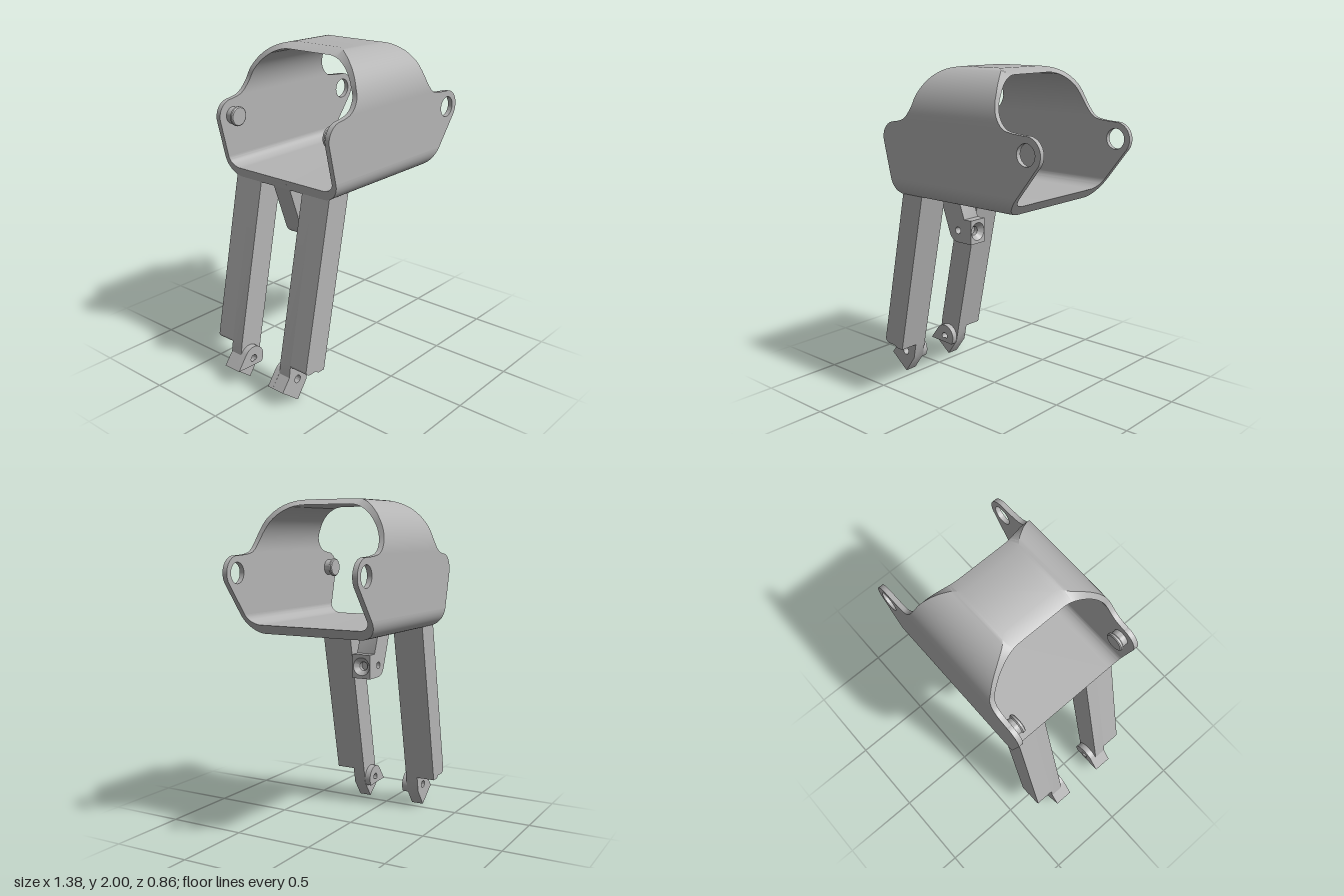
import * as THREE from 'three';
import { toCreasedNormals } from 'three/addons/utils/BufferGeometryUtils.js';

const grey = new THREE.MeshStandardMaterial({ color: 0xb4b4b4 });
grey.name = 'grey';

const WALL_LOW = 1.34, WALL_TOP = 1.68;   // height range of the flat side walls
const PIVOT_Y = 1.582;                    // height of lug holes and pins

function add(parent, geometry, name) {
  const mesh = new THREE.Mesh(geometry, grey);
  mesh.name = name;
  parent.add(mesh);
  return mesh;
}

// Extrude a side profile (x, y) between two z positions
function slab(shape, z0, z1) {
  const g = new THREE.ExtrudeGeometry(shape, { depth: z1 - z0, bevelEnabled: false, curveSegments: 24 });
  g.translate(0, 0, z0);
  return toCreasedNormals(g, 0.5);
}

function polygon(points) {
  return new THREE.Shape(points.map(([x, y]) => new THREE.Vector2(x, y)));
}

function hole(shape, x, y, r) {
  shape.holes.push(new THREE.Path().absarc(x, y, r, 0, Math.PI * 2, true));
  return shape;
}

// x of a smooth trim edge as a function of y
function edge(points) {
  const pts = new THREE.CatmullRomCurve3(points.map(([x, y]) => new THREE.Vector3(x, y, 0))).getPoints(120);
  return (y) => {
    const i = pts.findIndex((p) => p.y >= y);
    if (i < 0) return pts[pts.length - 1].x;
    if (i === 0) return pts[0].x;
    const a = pts[i - 1], b = pts[i];
    return a.x + (b.x - a.x) * (y - a.y) / (b.y - a.y || 1);
  };
}

// Band of wall: stations are [outerY, outerZ, innerY, innerZ], trimmed in x by height
function band(stations, left, right) {
  const pos = [], idx = [];
  stations.forEach(([yo, zo, yi, zi], i) => {
    pos.push(left(yo), yo, zo, right(yo), yo, zo, right(yi), yi, zi, left(yi), yi, zi);
    if (i === 0) return;
    const a = (i - 1) * 4, b = i * 4;
    for (let k = 0; k < 4; k++) {
      const n = (k + 1) % 4;
      idx.push(a + k, a + n, b + n, a + k, b + n, b + k);
    }
  });
  const g = new THREE.BufferGeometry();
  g.setAttribute('position', new THREE.Float32BufferAttribute(pos, 3));
  g.setIndex(idx);
  return toCreasedNormals(g, 0.6);
}

const mirrorZ = (half) => half.concat(half.slice().reverse().map(([yo, zo, yi, zi]) => [yo, -zo, yi, -zi]));

function buildShell() {
  const shell = new THREE.Group();
  shell.name = 'shell';

  // Arched roof, narrowing in x towards the top
  const roof = [1.68, 1.682, 1.685, 1.69, 1.695].map((y) => [y, 0.43, y, 0.4]);
  for (let i = 0; i <= 28; i++) {
    const a = (i / 28) * Math.PI / 2, c = Math.cos(a), s = Math.sin(a);
    roof.push([1.7 + 0.3 * s, 0.16 + 0.27 * c, 1.7 + 0.267 * s, 0.15 + 0.25 * c]);
  }
  const roofLeft = edge([[-0.41, 1.68], [-0.36, 1.69], [-0.317, 1.71], [-0.27, 1.772], [-0.252, 1.84],
    [-0.2, 1.947], [-0.155, 1.987], [-0.1, 2]]);
  const roofRight = edge([[0.593, 1.68], [0.5, 1.686], [0.434, 1.703], [0.386, 1.76], [0.36, 1.825],
    [0.34, 1.89], [0.3, 1.955], [0.255, 1.988], [0.2, 2]]);
  add(shell, band(mirrorZ(roof), roofLeft, roofRight), 'roof');

  // Floor with rounded lower corners
  const floor = [];
  for (let i = 0; i <= 14; i++) {
    const a = (i / 14) * Math.PI / 2, c = Math.cos(a), s = Math.sin(a);
    floor.push([WALL_LOW - 0.115 * s, -0.315 - 0.115 * c, WALL_LOW - 0.06 * s, -0.32 - 0.08 * c]);
  }
  add(shell, band(mirrorZ(floor), (y) => -0.423 - 0.223 * (y - 1.225), (y) => 0.444 + 0.756 * (y - 1.225)), 'floor');

  // Flat side walls with a pierced lug, and a headed pin inside each
  const wall = new THREE.Shape();
  wall.moveTo(-0.449, WALL_LOW);
  wall.lineTo(0.531, WALL_LOW);
  wall.absarc(0.593, PIVOT_Y, 0.098, -0.647, Math.PI / 2);
  wall.absarc(-0.407, PIVOT_Y, 0.098, Math.PI / 2, Math.PI + 0.22);
  hole(wall, 0.593, PIVOT_Y, 0.061);
  const pinProfile = [[0, 0.343], [0.052, 0.343], [0.058, 0.348], [0.058, 0.36], [0.05, 0.366], [0.05, 0.405]]
    .map(([r, h]) => new THREE.Vector2(r, h));
  for (const s of [1, -1]) {
    const side = s > 0 ? 'left' : 'right';
    add(shell, slab(wall, s > 0 ? 0.4 : -0.43, s > 0 ? 0.43 : -0.4), side + 'Wall');
    const pin = add(shell, toCreasedNormals(new THREE.LatheGeometry(pinProfile, 32), 0.4), side + 'Pin');
    pin.rotation.x = s * Math.PI / 2;
    pin.position.set(-0.405, PIVOT_Y, 0);
  }
  return shell;
}

function buildLeg(s, name) {
  const leg = new THREE.Group();
  leg.name = name;
  const part = (shape, a, b, label) => add(leg, slab(shape, s > 0 ? a : -b, s > 0 ? b : -a), label);

  // Outer strut, ending in a small step
  part(polygon([[-0.416, 1.26], [-0.624, 0.25], [-0.618, 0.235], [-0.6, 0.222], [-0.54, 0.222],
    [-0.52, 0.206], [-0.47, 0.206], [-0.254, 1.26]]), 0.24, 0.36, 'outerStrut');

  // Inner strut running down into the foot
  part(hole(polygon([[-0.416, 1.26], [-0.624, 0.25], [-0.635, 0.175], [-0.693, 0.1], [-0.566, 0],
    [-0.49, 0.106], [-0.47, 0.206], [-0.254, 1.26]]), -0.566, 0.138, 0.024), 0.16, 0.24, 'innerStrut');

  // Rounded ear on the inner face
  const ear = new THREE.Shape();
  ear.moveTo(-0.566, 0);
  ear.absarc(-0.566, 0.138, 0.079, -0.643, -0.643 + Math.PI);
  ear.lineTo(-0.693, 0.1);
  part(hole(ear, -0.566, 0.138, 0.024), 0.122, 0.16, 'footEar');
  return leg;
}

function buildBracket() {
  const bracket = new THREE.Group();
  bracket.name = 'bracket';
  const W = 0.0625;

  // Leaning arm with a rounded, pierced lower end
  const arm = new THREE.Shape();
  arm.moveTo(-0.196, 0.9);
  arm.lineTo(-0.196, 1.053);
  arm.lineTo(-0.27, 1.255);
  arm.lineTo(-0.43, 1.255);
  arm.absarc(-0.249, 0.976, 0.076, Math.PI + 0.35, Math.PI * 1.5);
  add(bracket, slab(hole(arm, -0.249, 0.976, 0.022), -W, W), 'arm');

  // Front block with a countersunk socket
  const face = hole(polygon([[-W, 0.9], [W, 0.9], [W, 1.053], [-W, 1.053]]), 0, 0.976, 0.057);
  const block = slab(face, 0, 0.058);
  block.rotateY(Math.PI / 2);
  add(bracket, block, 'block').position.x = -0.196;
  const socket = [[0, 0.002], [0.028, 0.002], [0.028, 0.028], [0.057, 0.058]].map(([r, h]) => new THREE.Vector2(r, h));
  const cup = new THREE.LatheGeometry(socket, 32);
  cup.rotateZ(-Math.PI / 2);
  const mesh = add(bracket, toCreasedNormals(cup, 0.5), 'socket');
  mesh.position.set(-0.196, 0.976, 0);
  mesh.material = openGrey;
  return bracket;
}

// Same grey, for the open socket surface
const openGrey = grey.clone();
openGrey.name = 'grey socket';
openGrey.side = THREE.DoubleSide;

export function createModel() {
  const model = new THREE.Group();
  model.name = 'cradleOnLegs';
  model.add(buildShell(), buildLeg(1, 'leftLeg'), buildLeg(-1, 'rightLeg'), buildBracket());
  return model;
}
